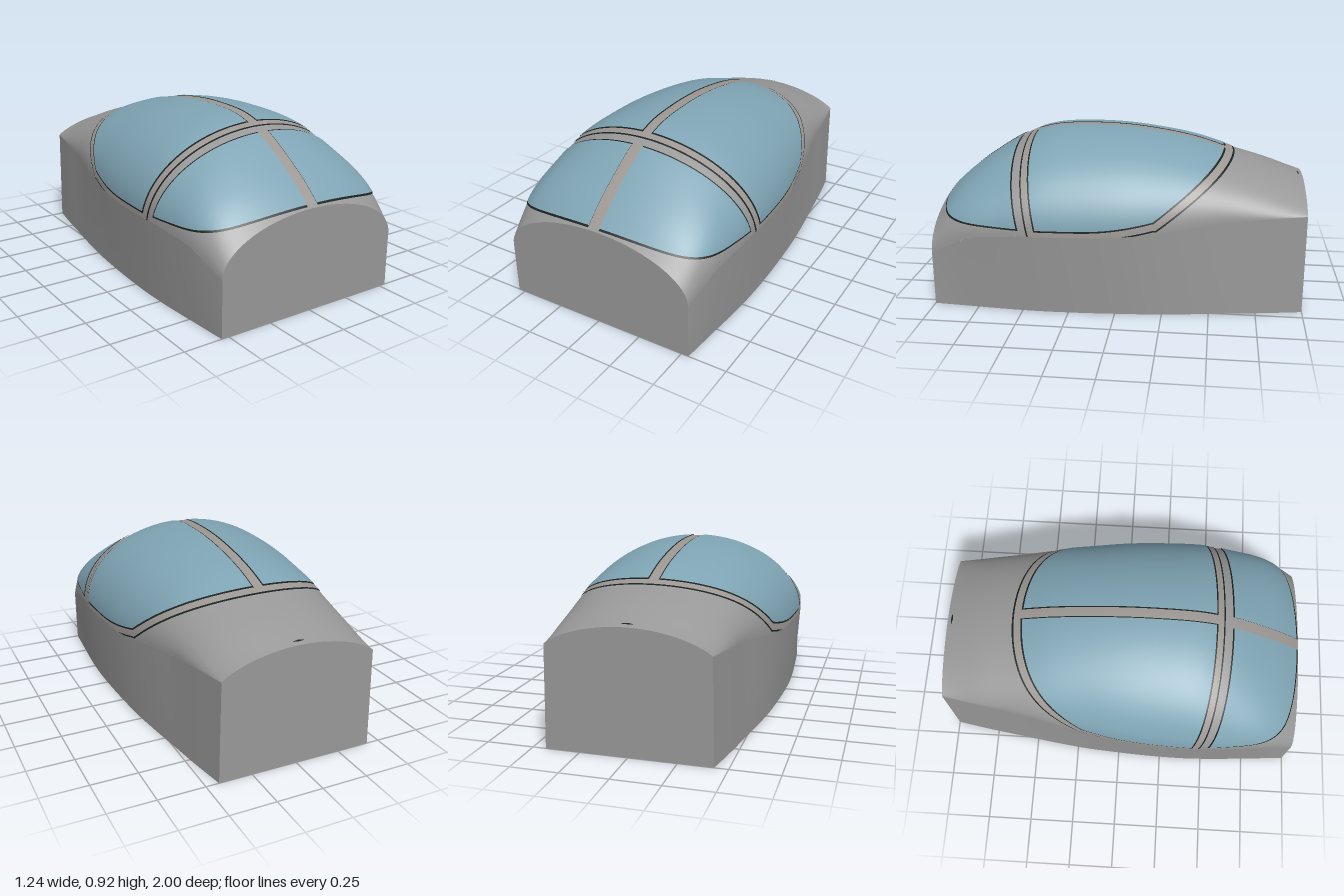
import * as THREE from 'three';

const paint = (name, color) => Object.assign(new THREE.MeshStandardMaterial({ color }), { name });

// Hull stations: floor half-width, shoulder half-width, shoulder height, crown height, arch powers p and q
const stations = [
  [-1.0, 0.43, 0.42, 0.54, 0.65, 1, 1.6],
  [-0.8, 0.465, 0.455, 0.53, 0.722, 1, 1.2],
  [-0.6, 0.495, 0.485, 0.515, 0.78, 1, 1],
  [-0.4, 0.525, 0.525, 0.49, 0.843, 1, 1],
  [-0.2, 0.55, 0.56, 0.46, 0.882, 1, 1],
  [0.0, 0.565, 0.59, 0.445, 0.905, 1, 1],
  [0.2, 0.575, 0.605, 0.44, 0.91, 1, 1],
  [0.4, 0.578, 0.612, 0.44, 0.897, 1, 1],
  [0.5, 0.575, 0.61, 0.44, 0.872, 1, 1],
  [0.6, 0.57, 0.603, 0.43, 0.835, 1, 1],
  [0.8, 0.555, 0.58, 0.4, 0.71, 0.9, 0.9],
  [0.9, 0.548, 0.56, 0.35, 0.635, 0.87, 0.87],
  [1.0, 0.54, 0.54, 0.3, 0.545, 1, 1],
];
const curve = new THREE.CubicInterpolant(
  stations.map((s) => s[0]), stations.flatMap((s) => s.slice(1)), 6, new Float32Array(6));

function section(z) {
  const [floor, w, shoulder, crown, p, q] = curve.evaluate(z);
  return { floor, w, shoulder, crown, p, q };
}

// Point on the arched upper hull, angle 0 at the left shoulder to PI at the right
function archPoint(angle, z) {
  const { w, shoulder, crown, p, q } = section(z);
  const c = Math.cos(angle), s = Math.max(0, Math.sin(angle));
  return [w * Math.sign(c) * Math.abs(c) ** p, shoulder + (crown - shoulder) * s ** q, z];
}

// Grid surface from a rule of u and v
function patch(rule, nu, nv) {
  const geometry = new THREE.PlaneGeometry(1, 1, nu, nv);
  const { position, uv } = geometry.attributes;
  for (let i = 0; i < position.count; i++) position.setXYZ(i, ...rule(uv.getX(i), uv.getY(i)));
  geometry.computeVertexNormals();
  return geometry;
}

// Keep the part of a surface where all fields are positive, lifted along its normals
function cutout(geometry, fields, lift) {
  const { position, normal } = geometry.attributes;
  const points = [], normals = [];
  const vertex = (i) => ({
    p: new THREE.Vector3().fromBufferAttribute(position, i),
    n: new THREE.Vector3().fromBufferAttribute(normal, i),
  });
  const index = geometry.index.array;
  for (let i = 0; i < index.length; i += 3) {
    let poly = [vertex(index[i]), vertex(index[i + 1]), vertex(index[i + 2])];
    for (const field of fields) {
      const kept = [];
      poly.forEach((a, k) => {
        const b = poly[(k + 1) % poly.length];
        const fa = field(a.p), fb = field(b.p);
        if (fa >= 0) kept.push(a);
        if ((fa >= 0) !== (fb >= 0)) {
          const t = fa / (fa - fb);
          kept.push({ p: a.p.clone().lerp(b.p, t), n: a.n.clone().lerp(b.n, t).normalize() });
        }
      });
      poly = kept;
    }
    for (let k = 1; k + 1 < poly.length; k++) {
      for (const v of [poly[0], poly[k], poly[k + 1]]) {
        points.push(...v.p.clone().addScaledVector(v.n, lift).toArray());
        normals.push(...v.n.toArray());
      }
    }
  }
  const result = new THREE.BufferGeometry();
  result.setAttribute('position', new THREE.Float32BufferAttribute(points, 3));
  result.setAttribute('normal', new THREE.Float32BufferAttribute(normals, 3));
  return result;
}

// Window outlines, grown outward by a margin m
const canopyFields = (m) => [
  (v) => 0.41 + 0.22 * (v.y - 0.475) - v.z + m,
  (v) => ((v.z + 0.2) * 0.275 + (v.y - 0.525) * 0.36) / 0.453 + m,
  (v) => v.y - 0.475 - 0.05 * THREE.MathUtils.clamp((0.2 - v.z) / 0.4, 0, 1) ** 2 + m,
];
const windshieldFields = (m) => [
  (v) => v.z - 0.51 - 0.24 * (v.y - 0.475) + m,
  (v) => v.y - 0.56 + 0.08 * (v.x / 0.6) ** 2 + m,
];
const besideSpine = (half) => (v) => Math.abs(v.x) - half;

export function createModel() {
  const group = new THREE.Group();
  const hullGrey = paint('hull grey', 0x989898);
  const frameGrey = paint('frame grey', 0x9c9793);
  const glassBlue = paint('glass blue', 0x7fa4b4);
  const trimBlack = paint('trim black', 0x18211f);

  const add = (name, geometry, material) => {
    const mesh = new THREE.Mesh(geometry, material);
    mesh.name = name;
    group.add(mesh);
    return mesh;
  };

  // Hull: arched top, two side walls, end faces
  const upper = patch((u, v) => archPoint(u * Math.PI, v * 2 - 1), 48, 80);
  add('upperHull', upper, hullGrey);
  for (const side of [1, -1]) {
    add(side > 0 ? 'leftWall' : 'rightWall', patch((u, v) => {
      const z = v * 2 - 1, { floor, w, shoulder } = section(z);
      const t = side > 0 ? u : 1 - u;
      return [side * THREE.MathUtils.lerp(floor, w, t), shoulder * t, z];
    }, 4, 60), hullGrey);
    add(side > 0 ? 'frontFace' : 'rearFace', patch((u, v) => {
      const { floor, w } = section(side);
      const [x, y] = archPoint((side > 0 ? 1 - u : u) * Math.PI, side);
      return [THREE.MathUtils.lerp(x * floor / w, x, v), y * v, side];
    }, 48, 1), hullGrey);
  }

  // Underside in two tones
  const floorPatch = (z0, z1) => patch((u, v) => {
    const z = THREE.MathUtils.lerp(z0, z1, v);
    return [(u * 2 - 1) * section(z).floor, 0, z];
  }, 1, 30);
  add('floor', floorPatch(-1, 0.58), trimBlack);
  add('frontFloor', floorPatch(0.58, 1), hullGrey);

  // Canopy: seal, frame, window trim and glass in thin layers
  add('canopySeal', cutout(upper, canopyFields(0.053), 0.003), trimBlack);
  add('canopyFrame', cutout(upper, canopyFields(0.044), 0.005), frameGrey);
  add('canopyTrim', cutout(upper, [...canopyFields(0.009), besideSpine(0.026)], 0.007), trimBlack);
  add('canopyGlass', cutout(upper, [...canopyFields(0), besideSpine(0.032)], 0.009), glassBlue);

  // Windshield with its centre post
  const post = (v) => 0.032 - Math.abs(v.x);
  add('windshieldPost', cutout(upper, [...windshieldFields(0), post], 0.004), frameGrey);
  add('windshieldTrim', cutout(upper, [...windshieldFields(0.008), besideSpine(0.032)], 0.004), trimBlack);
  add('windshieldGlass', cutout(upper, [...windshieldFields(0), besideSpine(0.032)], 0.006), glassBlue);

  // Small vent near the tail
  const vent = (v) => 1 - (v.x / 0.034) ** 2 - ((v.z + 0.972) / 0.012) ** 2;
  add('tailVent', cutout(upper, [vent], 0.003), trimBlack);

  return group;
}
